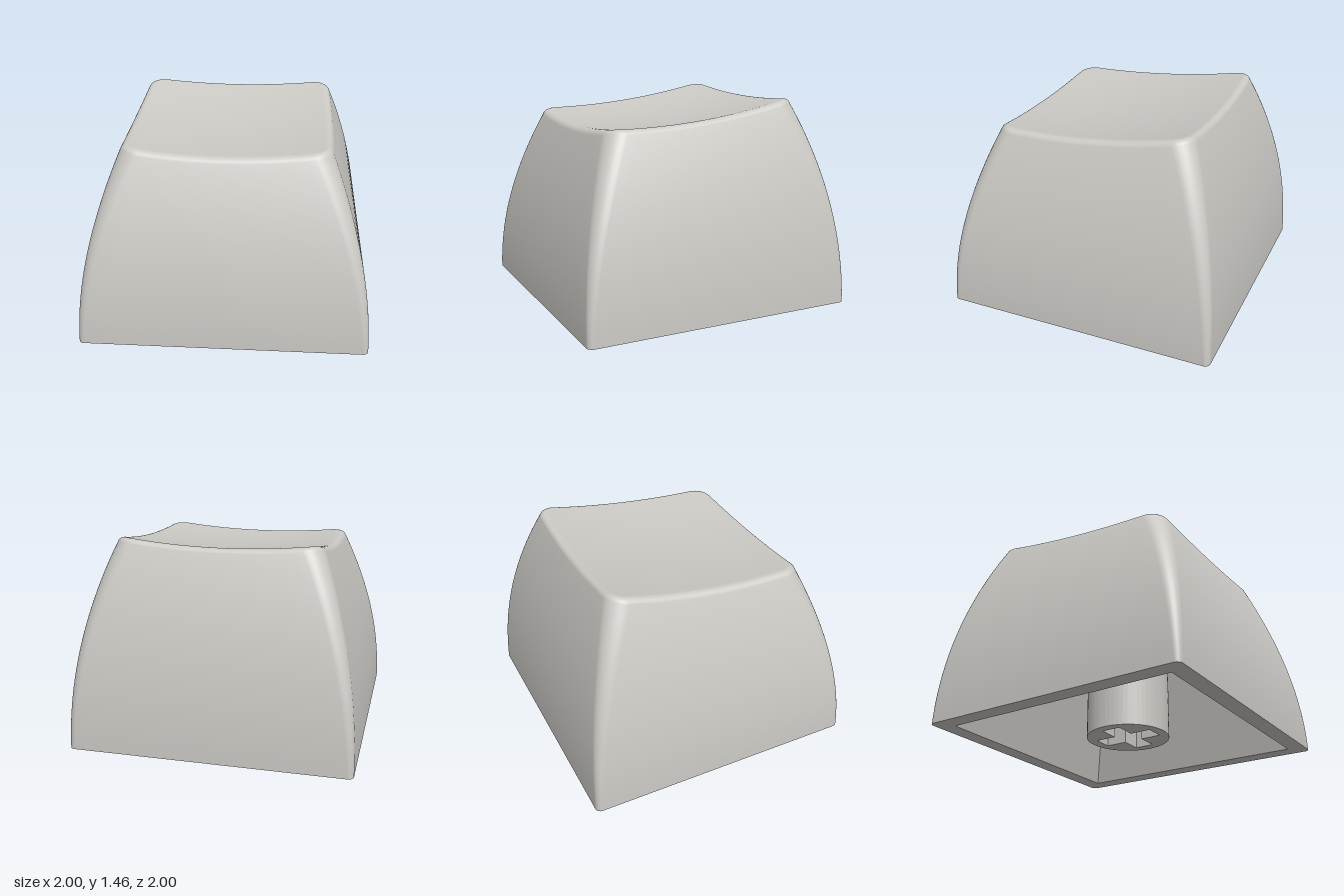
import * as THREE from 'three';

const ARC = 8, SIDE = 16, QUARTER = ARC + SIDE, COUNT = QUARTER * 4;

// Height of the scooped, back-tilted top
const dish = (x, z) => 1.312 - 0.105 * z + 0.1 * (x * x + z * z);

// Point j (counter-clockwise from above) of a rounded square of half width w
function outline(j, w, r) {
  const q = Math.floor(j / QUARTER), i = j % QUARTER, c = w - r;
  let x, z;
  if (i <= ARC) {
    const a = (i / ARC) * Math.PI / 2;
    x = c + r * Math.cos(a);
    z = c + r * Math.sin(a);
  } else {
    x = c * (1 - 2 * (i - ARC) / SIDE);
    z = w;
  }
  for (let k = 0; k < q; k++) [x, z] = [-z, x];
  return [x, -z];
}

// Point on the outer skin: u runs up the wall, inset and drop shape the rounded rim
function skinPoint(j, u, rimDrop, inset = 0) {
  let w = 1 - 0.295 * u * u, p, y;
  const r = 0.04 + 0.09 * u;
  for (let k = 0; k < 8; k++) {
    p = outline(j, w, r);
    y = u * (dish(p[0], p[1]) - rimDrop);
    const t = y / (1.4 - 0.105 * p[1]);
    w = 1 - 0.295 * t * t;
  }
  return outline(j, w - inset, r - inset);
}

function skinGeometry() {
  const f = 0.06, a0 = 0.35, drop = f * (1 - Math.sin(a0));
  const rings = [];
  const addRing = (fn) => rings.push(Array.from({ length: COUNT }, (_, j) => fn(j)));
  // Curved walls
  for (let i = 0; i <= 24; i++) {
    const u = i / 24;
    addRing((j) => {
      const [x, z] = skinPoint(j, u, drop);
      return [x, u * (dish(x, z) - drop), z];
    });
  }
  // Rounded rim
  for (let i = 1; i <= 6; i++) {
    const a = a0 + (Math.PI / 2 - a0) * i / 6;
    addRing((j) => {
      const [x, z] = skinPoint(j, 1, drop, f * (Math.cos(a0) - Math.cos(a)));
      return [x, dish(x, z) - f * (1 - Math.sin(a)), z];
    });
  }
  // Scooped top, closing to the middle
  const rim = rings[rings.length - 1];
  for (let i = 1; i <= 16; i++) {
    const s = 1 - i / 16;
    addRing((j) => {
      const x = rim[j][0] * s, z = rim[j][2] * s;
      return [x, dish(x, z), z];
    });
  }
  const index = [];
  for (let i = 0; i < rings.length - 1; i++) {
    for (let j = 0; j < COUNT; j++) {
      const a = i * COUNT + j, b = i * COUNT + (j + 1) % COUNT;
      index.push(a, b, a + COUNT, b, b + COUNT, a + COUNT);
    }
  }
  const g = new THREE.BufferGeometry();
  g.setAttribute('position', new THREE.Float32BufferAttribute(rings.flat(2), 3));
  g.setIndex(index);
  g.computeVertexNormals();
  return g;
}

// Tapered hollow: an inward-facing box without its floor
function cavityGeometry(bottom, top, height) {
  const g = new THREE.BoxGeometry(2, height, 2);
  g.translate(0, height / 2, 0);
  const p = g.attributes.position;
  for (let i = 0; i < p.count; i++) {
    const w = p.getY(i) > height / 2 ? top : bottom;
    p.setXYZ(i, p.getX(i) * w, p.getY(i), -p.getZ(i) * w);
  }
  g.setIndex(Array.from(g.index.array).filter((_, i) => i < 18 || i > 23));
  g.clearGroups();
  g.computeVertexNormals();
  return g;
}

export function createModel() {
  const model = new THREE.Group();
  model.name = 'keycap';
  const plastic = new THREE.MeshStandardMaterial({ color: 0xcccac5 });
  plastic.name = 'warm grey plastic';
  const add = (name, geometry) => {
    const mesh = new THREE.Mesh(geometry, plastic);
    mesh.name = name;
    model.add(mesh);
    return mesh;
  };

  const opening = 0.875, ceiling = 0.87;
  add('outerShell', skinGeometry());
  add('innerCavity', cavityGeometry(opening, 0.68, ceiling));

  // Flat bottom edge between shell and cavity
  const edge = new THREE.Shape(Array.from({ length: COUNT }, (_, j) => new THREE.Vector2(...outline(j, 1, 0.04))));
  const o = opening;
  edge.holes.push(new THREE.Path([[-o, -o], [o, -o], [o, o], [-o, o]].map((p) => new THREE.Vector2(...p))));
  add('bottomEdge', new THREE.ShapeGeometry(edge).rotateX(Math.PI / 2));

  // Stem with a cross-shaped socket
  const radius = 0.3, socketDepth = 0.45, l = 0.225, t = 0.07;
  const stem = new THREE.Shape().absarc(0, 0, radius, 0, Math.PI * 2);
  const cross = [[l, -t], [l, t], [t, t], [t, l], [-t, l], [-t, t], [-l, t], [-l, -t], [-t, -t], [-t, -l], [t, -l], [t, -t]];
  stem.holes.push(new THREE.Path(cross.map((p) => new THREE.Vector2(...p))));
  add('stemSocket', new THREE.ExtrudeGeometry(stem, { depth: socketDepth, bevelEnabled: false, curveSegments: 28 })
    .rotateX(-Math.PI / 2));
  const h = ceiling - socketDepth;
  add('stemRoot', new THREE.CylinderGeometry(radius, radius, h, 28).translate(0, socketDepth + h / 2, 0));

  return model;
}
